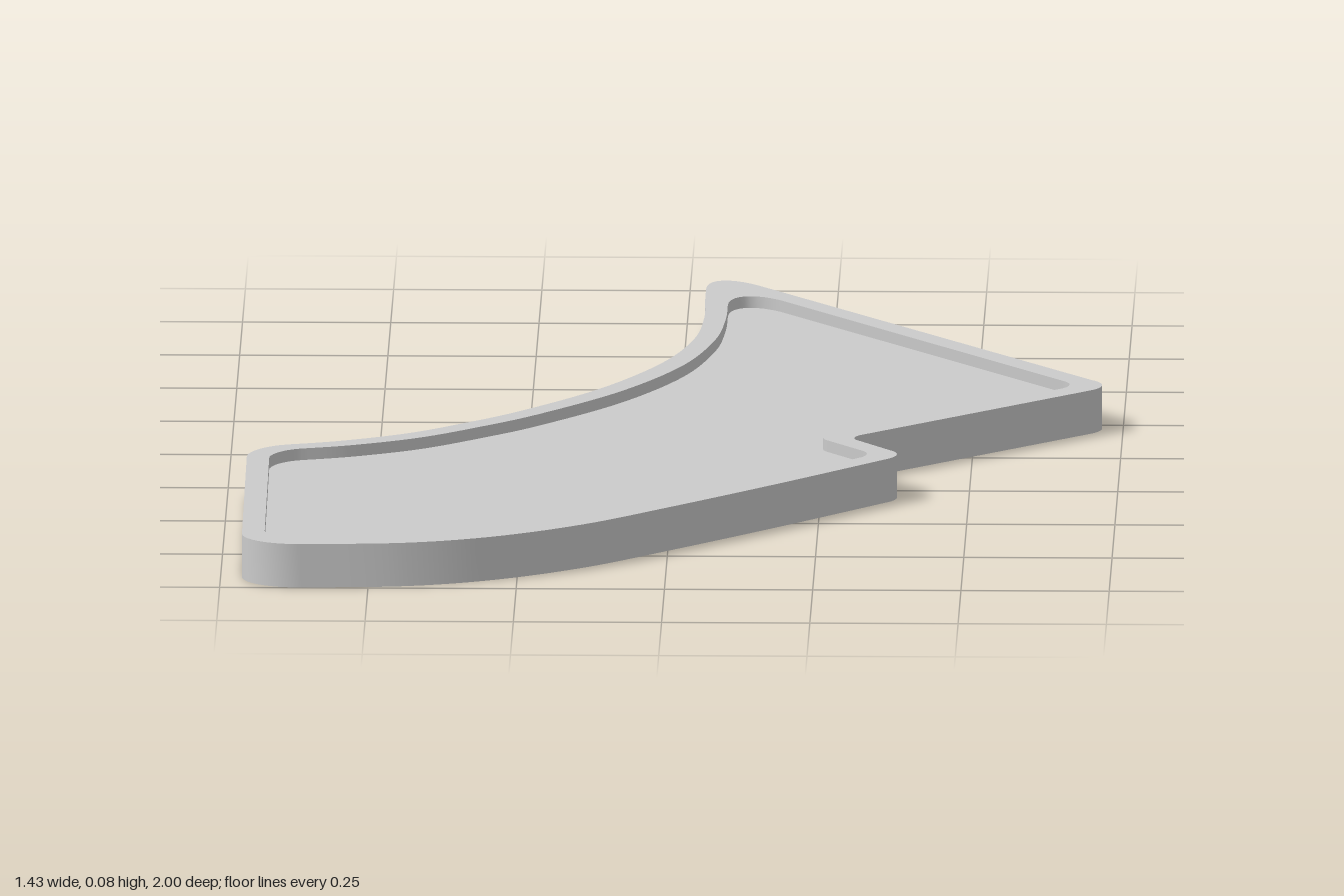
import * as THREE from 'three';
import { toCreasedNormals } from 'three/addons/utils/BufferGeometryUtils.js';

const HEIGHT = 0.075;
const FLOOR_BOTTOM = 0.04;
const FLOOR_TOP = 0.055;
const ROUNDNESS = 0.55;

// Plan outline in (x, z): straight edges, rounded corners and two swept curves.
// corners: [start, control, end] triples; sweeps: points the curves pass through.
// Returns points running clockwise as seen from above.
function outline({ corners, outerSweep, innerSweep }) {
  const v = ([x, z]) => new THREE.Vector2(x, -z);
  const path = new THREE.Path();
  corners.forEach((corner, i) => {
    const [a, c, b] = corner.map(v);
    if (i === 0) path.moveTo(a.x, a.y);
    else if (i === 4) path.splineThru([...outerSweep.map(v), a]);
    else path.lineTo(a.x, a.y);
    const p = a.clone().lerp(c, ROUNDNESS);
    const q = b.clone().lerp(c, ROUNDNESS);
    path.bezierCurveTo(p.x, p.y, q.x, q.y, b.x, b.y);
  });
  path.splineThru([...innerSweep, corners[0][0]].map(v));
  return path.getPoints(10);
}

// Corner order: back tip, right-hand point, notch, small point, front corner, side corner
const outer = outline({
  corners: [
    [[0.033, -0.94], [0.033, -1.074], [0.125, -0.96]],
    [[0.695, -0.265], [0.742, -0.225], [0.695, -0.185]],
    [[0.318, 0.155], [0.29, 0.177], [0.312, 0.2]],
    [[0.365, 0.27], [0.398, 0.3], [0.365, 0.335]],
    [[-0.62, 0.998], [-0.714, 0.998], [-0.714, 0.92]],
    [[-0.717, 0.34], [-0.717, 0.268], [-0.65, 0.248]],
  ],
  outerSweep: [[0.18, 0.53], [0, 0.71], [-0.14, 0.84], [-0.29, 0.935], [-0.44, 0.985]],
  innerSweep: [[-0.56, 0.218], [-0.45, 0.16], [-0.36, 0.085], [-0.26, -0.015], [-0.13, -0.185],
    [-0.03, -0.38], [0.02, -0.56], [0.034, -0.72], [0.033, -0.85]],
});

const inner = outline({
  corners: [
    [[0.072, -0.82], [0.074, -0.945], [0.16, -0.855]],
    [[0.645, -0.26], [0.68, -0.228], [0.645, -0.197]],
    [[0.265, 0.152], [0.237, 0.175], [0.26, 0.2]],
    [[0.315, 0.27], [0.346, 0.3], [0.315, 0.33]],
    [[-0.6, 0.957], [-0.676, 0.957], [-0.676, 0.9]],
    [[-0.679, 0.35], [-0.679, 0.293], [-0.625, 0.278]],
  ],
  outerSweep: [[0.14, 0.51], [-0.03, 0.68], [-0.17, 0.81], [-0.3, 0.895], [-0.44, 0.945]],
  innerSweep: [[-0.54, 0.25], [-0.43, 0.193], [-0.33, 0.11], [-0.23, 0.01], [-0.095, -0.165],
    [0.005, -0.36], [0.055, -0.55], [0.07, -0.7]],
});

// Stand a plan shape up between two heights
function slab(name, shape, y0, y1, material) {
  let geometry = new THREE.ExtrudeGeometry(shape, { depth: y1 - y0, bevelEnabled: false });
  geometry.rotateX(-Math.PI / 2);
  geometry.translate(0, y0, 0);
  geometry = toCreasedNormals(geometry, Math.PI / 5);
  const mesh = new THREE.Mesh(geometry, material);
  mesh.name = name;
  return mesh;
}

export function createModel() {
  const group = new THREE.Group();
  group.name = 'curvedTray';
  const material = new THREE.MeshStandardMaterial({ color: 0xcccccc });

  // Thin panel, recessed from above and below
  group.add(slab('floorPanel', new THREE.Shape(inner), FLOOR_BOTTOM, FLOOR_TOP, material));

  // Raised border: outer edge counter-clockwise, hole clockwise, so both walls face out of the solid
  const border = new THREE.Shape([...outer].reverse());
  border.holes.push(new THREE.Path(inner));
  group.add(slab('rim', border, 0, HEIGHT, material));

  return group;
}
